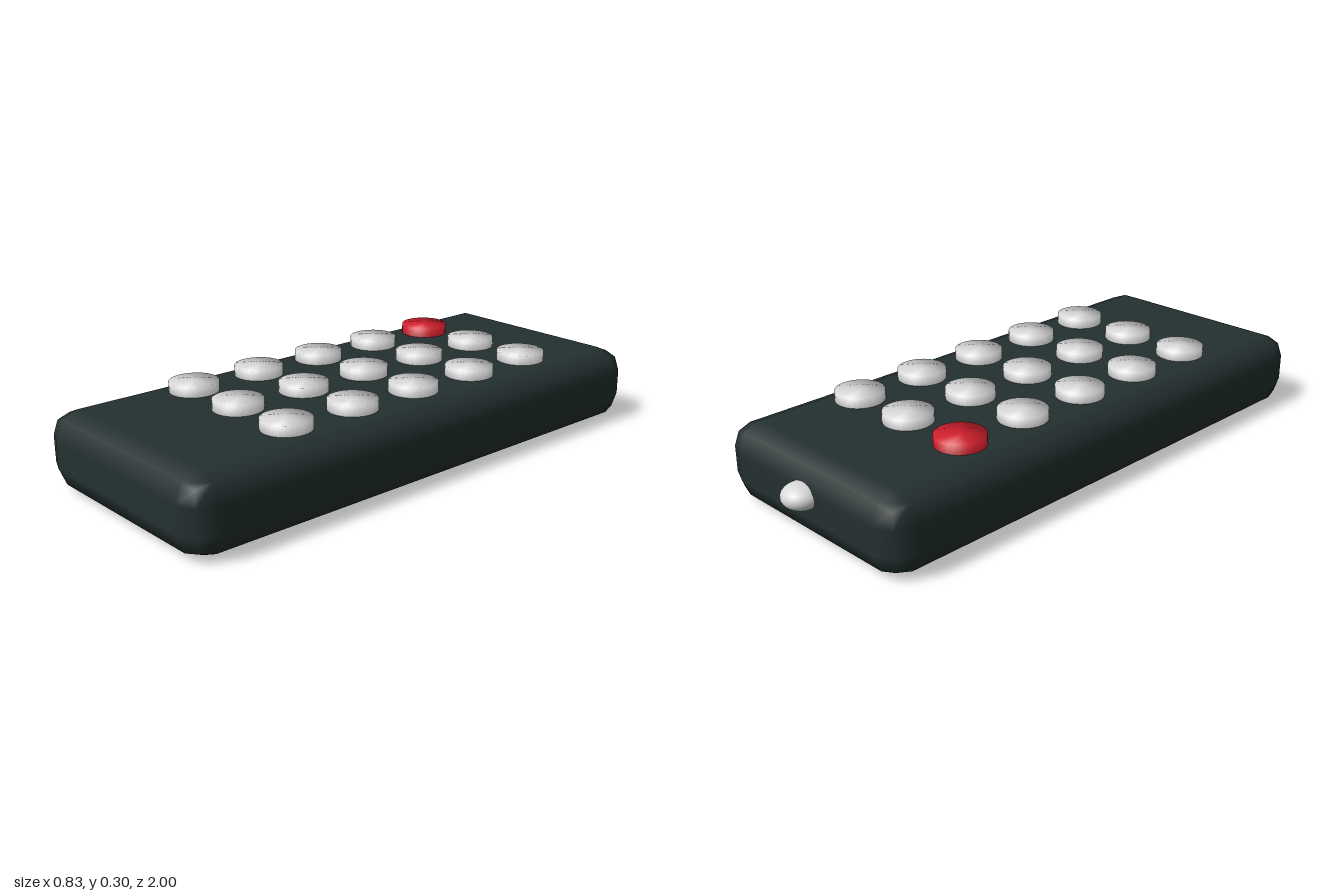
import * as THREE from 'three';
import { mergeVertices } from 'three/addons/utils/BufferGeometryUtils.js';
import { RoundedBoxGeometry } from 'three/addons/geometries/RoundedBoxGeometry.js';

function material(name, color) {
  const m = new THREE.MeshStandardMaterial({ color });
  m.name = name;
  return m;
}

// Short cylinder whose normals run smoothly over the rim
function softCylinder(radius, height, sides) {
  const geo = new THREE.CylinderGeometry(radius, radius, height, sides);
  geo.deleteAttribute('normal');
  geo.deleteAttribute('uv');
  const merged = mergeVertices(geo);
  merged.computeVertexNormals();
  return merged;
}

export function createModel() {
  const group = new THREE.Group();
  group.name = 'remoteControl';

  const casing = material('darkCasing', 0x243030);
  const grey = material('lightGrey', 0xd8d8d8);
  const red = material('red', 0xd3202d);

  function add(name, geometry, mat, x, y, z) {
    const mesh = new THREE.Mesh(geometry, mat);
    mesh.name = name;
    mesh.position.set(x, y, z);
    group.add(mesh);
    return mesh;
  }

  // Casing with two-step rounded edges
  add('casing', new RoundedBoxGeometry(0.834, 0.265, 1.936, 1, 0.088), casing, 0, 0.1325, 0.032);

  // Button grid, three across and five down; the back right one is the power button
  const buttonGeo = softCylinder(0.083, 0.07, 32);
  for (let row = 0; row < 5; row++) {
    for (let col = -1; col <= 1; col++) {
      const isPower = row === 0 && col === -1;
      add(isPower ? 'powerButton' : 'button', buttonGeo, isPower ? red : grey,
        col * 0.242, 0.264, -0.522 + row * 0.265);
    }
  }

  // Signal lamp on the back end
  const lamp = add('signalLamp', new THREE.SphereGeometry(1, 32, 16), grey, 0, 0.155, -0.936);
  lamp.scale.set(0.064, 0.042, 0.064);

  return group;
}
